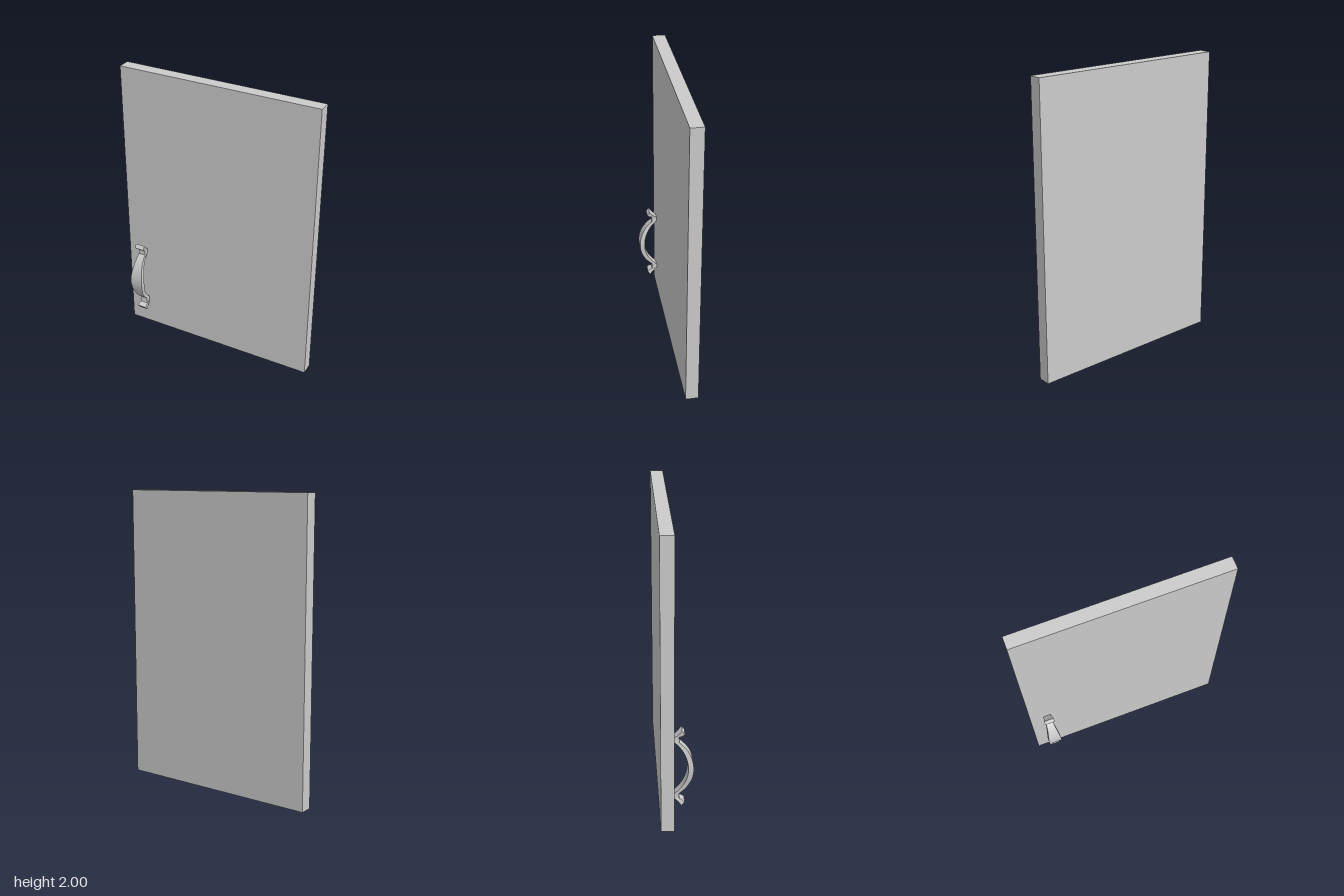
import * as THREE from 'three';
import { toCreasedNormals } from 'three/addons/utils/BufferGeometryUtils.js';

// Half of the pull, from its middle to its tip: [outer y, outer z, inner y, inner z, half width]
function halfSections() {
  const rows = [];
  const steps = 10;
  for (let i = 0; i <= steps; i++) {
    const t = i / steps;
    const a = t * 0.9, b = t * 0.85;
    const w = 0.0355 + 0.0095 * Math.cos(Math.PI * t);
    rows.push([0.242 * Math.sin(a), -0.135 + 0.242 * Math.cos(a),
      0.248 * Math.sin(b), -0.175 + 0.248 * Math.cos(b), w]);
  }
  // foot resting on the panel, then the flared tip
  rows.push([0.202, 0.015, 0.204, -0.021, 0.025]);
  rows.push([0.222, 0.014, 0.214, -0.021, 0.024]);
  rows.push([0.232, 0.018, 0.226, -0.019, 0.025]);
  rows.push([0.235, 0.03, 0.244, 0.003, 0.03]);
  rows.push([0.252, 0.05, 0.277, 0.032, 0.035]);
  return rows;
}

// Loft rectangular cross-sections along the mirrored profile
function handleGeometry() {
  const half = halfSections();
  const lower = half.slice(1).reverse().map(([oy, oz, iy, iz, w]) => [-oy, oz, -iy, iz, w]);
  const rows = [...lower, ...half];
  const pos = [], index = [];
  for (const [oy, oz, iy, iz, w] of rows) {
    pos.push(-w, oy, oz, w, oy, oz, w, iy, iz, -w, iy, iz);
  }
  for (let r = 0; r < rows.length - 1; r++) {
    for (let k = 0; k < 4; k++) {
      const a = r * 4 + k, b = r * 4 + (k + 1) % 4;
      index.push(a, b, b + 4, a, b + 4, a + 4);
    }
  }
  const e = (rows.length - 1) * 4;
  index.push(0, 3, 2, 0, 2, 1, e, e + 1, e + 2, e, e + 2, e + 3);
  const g = new THREE.BufferGeometry();
  g.setAttribute('position', new THREE.Float32BufferAttribute(pos, 3));
  g.setIndex(index);
  return toCreasedNormals(g, 0.6);
}

export function createModel() {
  const group = new THREE.Group();
  group.name = 'cabinetDoor';
  const material = new THREE.MeshStandardMaterial({ color: 0xcccccc });

  // Flat door panel
  const panel = new THREE.Mesh(new THREE.BoxGeometry(1.4, 2, 0.086), material);
  panel.name = 'doorPanel';
  panel.position.set(0, 1, -0.064);
  group.add(panel);

  // Bowed pull handle
  const handle = new THREE.Mesh(handleGeometry(), material);
  handle.name = 'handle';
  handle.position.set(-0.58, 0.417, 0);
  group.add(handle);

  return group;
}
